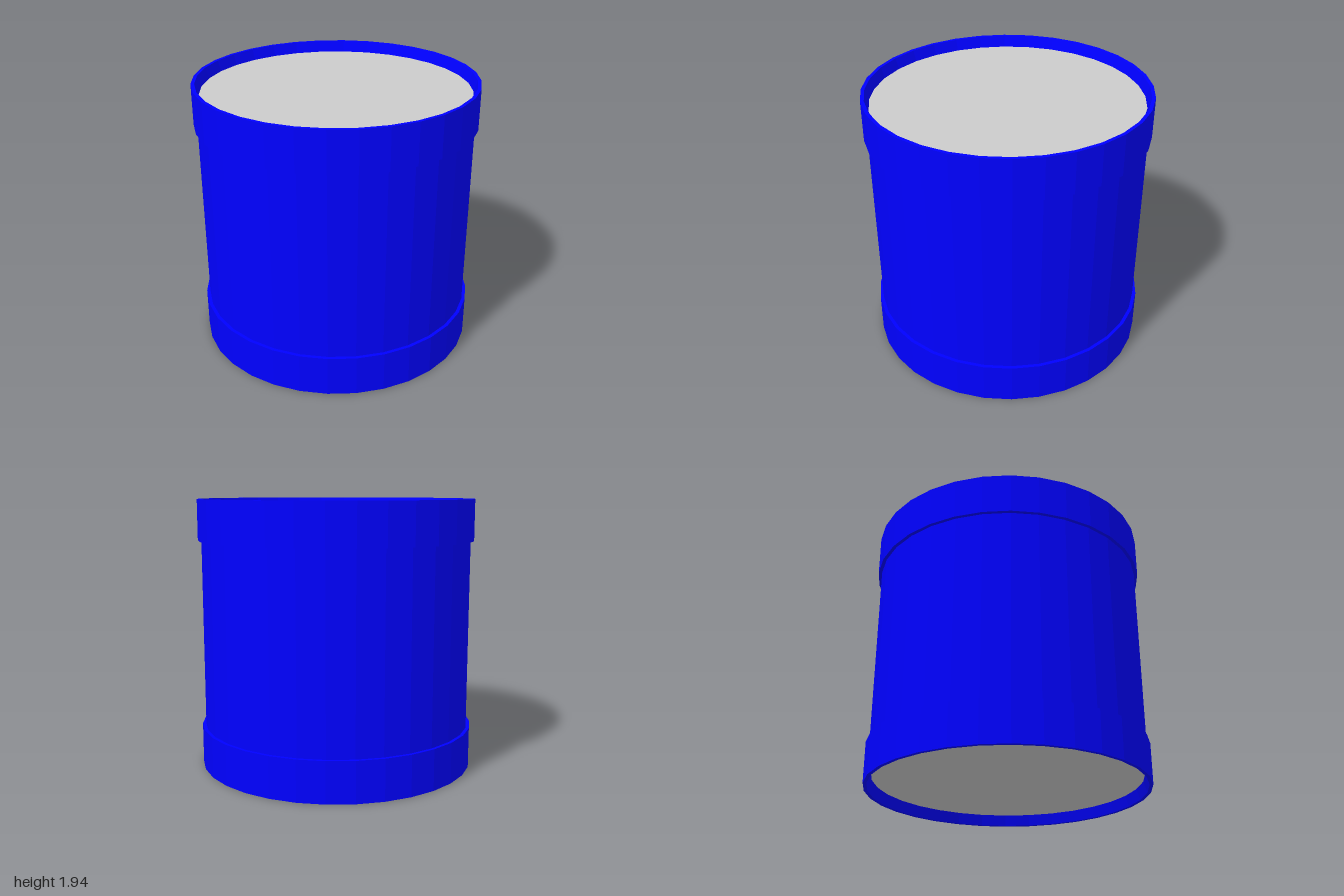
import * as THREE from 'three';

const SIDES = 32;
const HEIGHT = 1.94;
const BODY_R = 0.975;
const HOOP_H = 0.293;
const RECESS = 0.078;
const HEAD_R = 0.95;

export function createModel() {
  const drum = new THREE.Group();
  drum.name = 'drum';
  const blue = new THREE.MeshStandardMaterial({ color: 0x0000ff, flatShading: true });
  const grey = new THREE.MeshStandardMaterial({ color: 0xcccccc, flatShading: true });

  const add = (name, geometry, material, parent) => {
    const mesh = new THREE.Mesh(geometry, material);
    mesh.name = name;
    parent.add(mesh);
    return mesh;
  };
  const lathe = (points) =>
    new THREE.LatheGeometry(points.map(([r, y]) => new THREE.Vector2(r, y)), SIDES);

  // Shell wall between the two hoops
  add('shell', lathe([[BODY_R, HOOP_H], [BODY_R, HEIGHT - HOOP_H]]), blue, drum);

  // Each end: a hoop with a sloping inner wall, and a recessed head
  const half = HEIGHT / 2;
  const hoopProfile = [
    [BODY_R, half - HOOP_H],
    [1, half - HOOP_H],
    [1, half],
    [BODY_R, half],
    [HEAD_R, half - RECESS],
  ];
  for (const [side, turn] of [['top', 0], ['bottom', Math.PI]]) {
    const end = new THREE.Group();
    end.name = side + 'End';
    end.position.y = half;
    end.rotation.x = turn;
    add(side + 'Hoop', lathe(hoopProfile), blue, end);
    const head = add(side + 'Head', new THREE.CircleGeometry(HEAD_R, SIDES), grey, end);
    head.rotation.x = -Math.PI / 2;
    head.position.y = half - RECESS;
    drum.add(end);
  }
  return drum;
}
